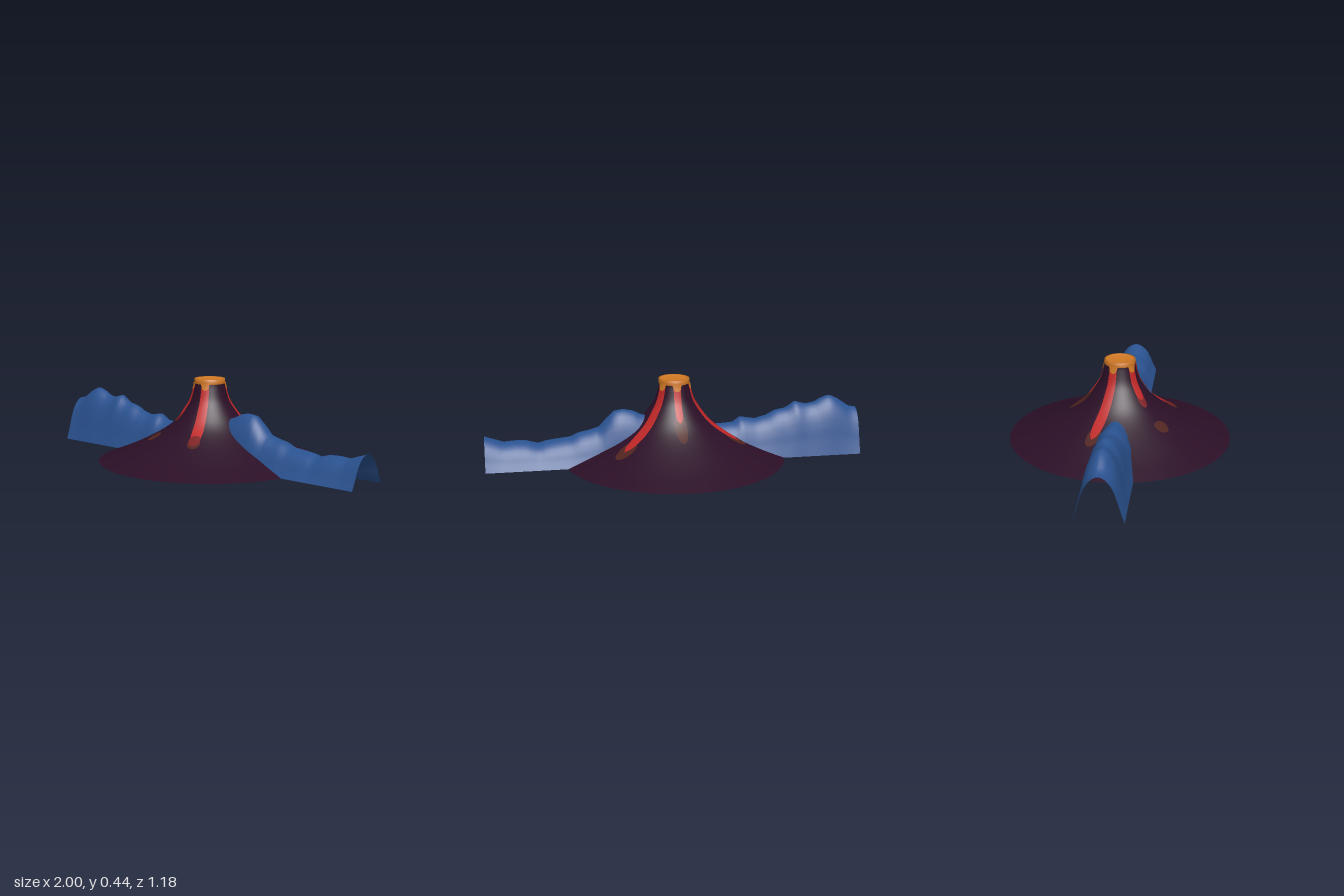
import * as THREE from 'three';

const paint = (name, color) => new THREE.MeshStandardMaterial({ name, color, side: THREE.DoubleSide });

// Surface through a grid of points: at(u, v) with u and v from 0 to 1
function sheet(nu, nv, at) {
  const pos = [], idx = [];
  for (let i = 0; i <= nu; i++) for (let j = 0; j <= nv; j++) pos.push(...at(i / nu, j / nv));
  for (let i = 0; i < nu; i++) for (let j = 0; j < nv; j++) {
    const a = i * (nv + 1) + j, b = a + nv + 1;
    idx.push(a, a + 1, b, b, a + 1, b + 1);
  }
  const g = new THREE.BufferGeometry();
  g.setAttribute('position', new THREE.Float32BufferAttribute(pos, 3));
  g.setIndex(idx);
  g.computeVertexNormals();
  return g;
}

const vectors = list => list.map(([x, y]) => new THREE.Vector2(x, y));

// Linear reading of a height from [x, y] pairs
function heightAt(pairs, x) {
  let i = 1;
  while (i < pairs.length - 1 && pairs[i][0] < x) i++;
  const [x0, y0] = pairs[i - 1], [x1, y1] = pairs[i];
  return THREE.MathUtils.lerp(y0, y1, (x - x0) / (x1 - x0));
}

export function createModel() {
  const model = new THREE.Group();
  const rock = paint('dark rock', 0x2b0f26), blue = paint('mountain blue', 0x2a5290);
  const red = paint('lava red', 0xbd2626), orange = paint('lava orange', 0xcf7824);
  const darkRed = paint('cooling lava', 0x7c1f22), brown = paint('cooled crust', 0x4f231f);
  const green = paint('debris green', 0x2c5a34);
  const add = (name, geometry, material) => {
    const m = new THREE.Mesh(geometry, material);
    m.name = name;
    model.add(m);
    return m;
  };

  // Cone, open underneath
  const slope = new THREE.SplineCurve(vectors([
    [0.076, 0.43], [0.081, 0.4], [0.1, 0.335], [0.13, 0.284], [0.178, 0.223],
    [0.24, 0.173], [0.337, 0.117], [0.463, 0.058], [0.59, 0.009],
  ]));
  add('volcanoCone', new THREE.LatheGeometry(slope.getPoints(48).reverse(), 64), rock);

  // Crater rim with its shallow lava pool
  add('craterRim', new THREE.LatheGeometry(vectors([
    [0.077, 0.418], [0.081, 0.42], [0.081, 0.444], [0.07, 0.444], [0.067, 0.436], [0, 0.436],
  ]), 40).toNonIndexed(), orange);

  // Thin lava strip hugging the slope between two radii, rounded at its end
  const slopeAt = r => {
    let s = 0;
    while (s < 1 && slope.getPoint(s).x < r) s += 0.002;
    return s;
  };
  function lava(name, dirX, dirZ, r0, r1, w0, w1, lift, material, roundStart = false) {
    const angle = Math.atan2(dirZ, dirX), s0 = slopeAt(r0), s1 = slopeAt(r1);
    add(name, sheet(26, 6, (u, v) => {
      const s = THREE.MathUtils.lerp(s0, s1, u);
      const p = slope.getPoint(s), t = slope.getTangent(s);
      const r = p.x - t.y * lift, y = p.y + t.x * lift;
      const e = roundStart ? Math.abs(2 * u - 1) : Math.max(0, (u - 0.8) / 0.2);
      const w = THREE.MathUtils.lerp(w0, w1, u) * Math.sqrt(Math.max(0, 1 - e * e));
      const a = angle + (0.5 - v) * w / p.x;
      return [r * Math.cos(a), y, r * Math.sin(a)];
    }), material);
  }
  // direction x, direction z, red end, red end width, crust start, crust end, crust width
  const flows = [
    [-0.33, -0.115, 0.345, 0.062, 0.27, 0.385, 0.07],
    [-0.01, -0.25, 0.165, 0.036, 0.13, 0.265, 0.065],
    [0.3, -0.212, 0.355, 0.066, 0.28, 0.41, 0.085],
    [0.13, 0.28, 0.305, 0.064, 0.26, 0.325, 0.066],
    [-0.1, 0.13, 0.155, 0.045, 0.26, 0.33, 0.075],
  ];
  for (const [x, z, end, width, crust0, crust1, crustW] of flows) {
    lava('lavaFlow', x, z, 0.077, end, 0.036, width, 0.006, red);
    lava('lavaCrust', x, z, crust0, crust1, crustW, crustW, 0.003, brown, true);
    lava('rimDrip', x, z, 0.0765, 0.084, 0.05, 0.03, 0.008, orange);
  }
  lava('coolingTip', -0.1, 0.13, 0.12, 0.185, 0.045, 0.05, 0.004, darkRed, true);
  lava('coolingTip', 0.13, 0.28, 0.24, 0.31, 0.06, 0.06, 0.007, darkRed, true);

  // Mountain ridge running through the cone, an open arch in section
  const crest = [
    [-1, 0.24], [-0.96, 0.248], [-0.9, 0.29], [-0.85, 0.315], [-0.8, 0.297], [-0.77, 0.278],
    [-0.72, 0.27], [-0.66, 0.287], [-0.61, 0.252], [-0.55, 0.242], [-0.5, 0.215], [-0.44, 0.2],
    [-0.36, 0.214], [-0.32, 0.186], [-0.25, 0.18], [-0.15, 0.19], [0, 0.22], [0.1, 0.24],
    [0.17, 0.25], [0.22, 0.275], [0.27, 0.286], [0.32, 0.278], [0.36, 0.24], [0.4, 0.195],
    [0.46, 0.177], [0.51, 0.168], [0.55, 0.147], [0.62, 0.14], [0.68, 0.132], [0.72, 0.12],
    [0.78, 0.137], [0.84, 0.14], [0.9, 0.136], [1, 0.17],
  ];
  const half = [[-0.123, 0], [-0.1, 0.3], [-0.087, 0.5], [-0.065, 0.75], [-0.034, 0.93]];
  const arch = new THREE.SplineCurve(vectors(
    [...half, [0, 1], ...half.map(([z, h]) => [-z, h]).reverse()]));
  add('mountainRidge', sheet(100, 24, (u, v) => {
    const x = 2 * u - 1, p = arch.getPoint(1 - v);
    return [x, 0.009 + p.y * (heightAt(crest, x) - 0.009), p.x];
  }), blue);

  // Small loose stones under the middle of the cone
  const stones = [red, green, orange, blue, darkRed, green, red, orange];
  stones.forEach((material, i) => {
    const a = i / stones.length * Math.PI * 2, r = i % 2 ? 0.045 : 0.028;
    const stone = add('stone', new THREE.IcosahedronGeometry(0.012, 0), material);
    stone.position.set(r * Math.cos(a), 0.012, r * Math.sin(a) * 0.8);
  });
  return model;
}
